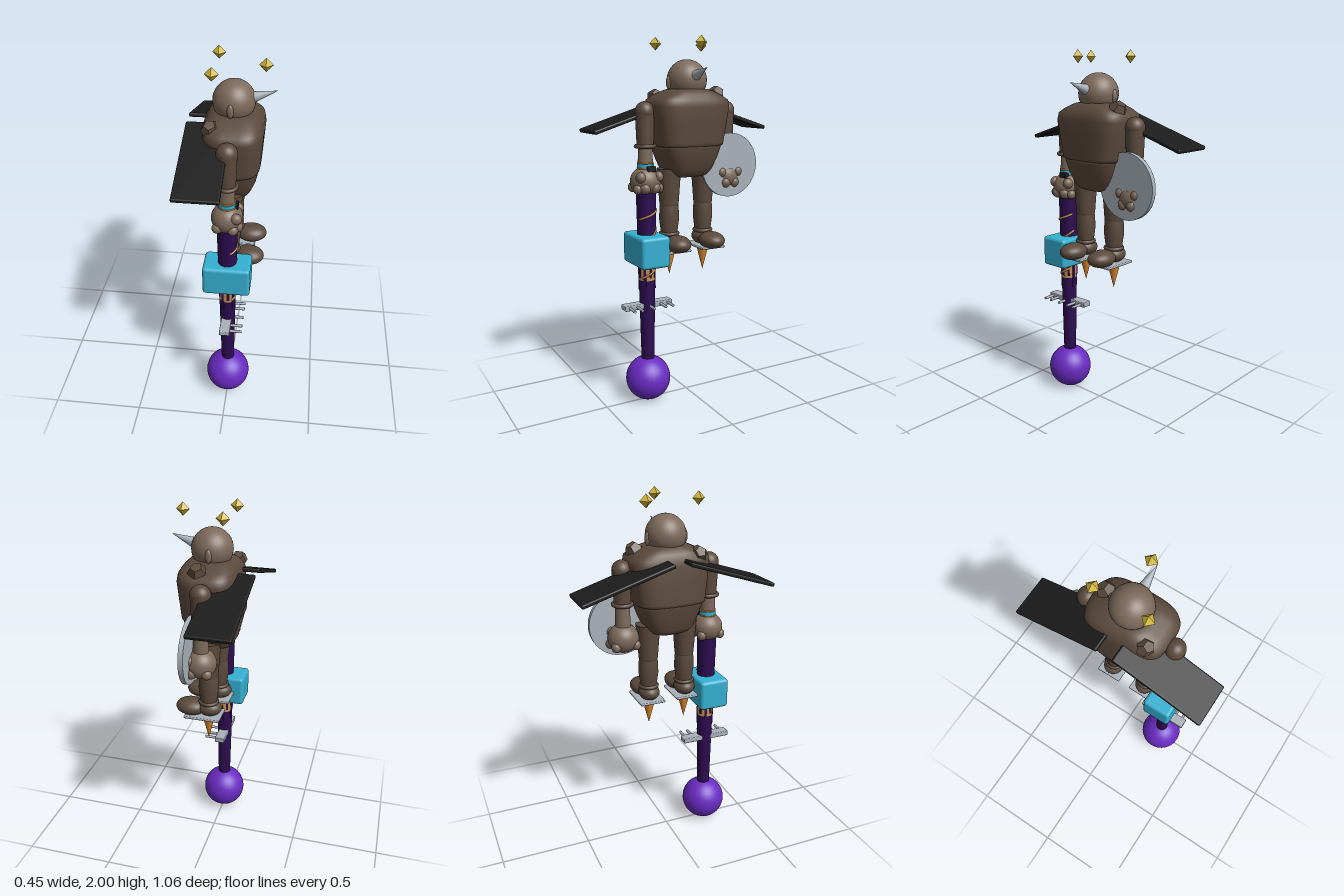
import * as THREE from 'three';
import { RoundedBoxGeometry } from 'three/addons/geometries/RoundedBoxGeometry.js';

const mat = (name, color, extra = {}) => {
  const m = new THREE.MeshStandardMaterial({ color, ...extra });
  m.name = name;
  return m;
};

export function createModel() {
  const root = new THREE.Group();
  root.name = 'flyingWarrior';
  const brown = mat('brown', 0x5b4a3d), skin = mat('lightBrown', 0x7d6a5b), steel = mat('steel', 0xa9b1ba);
  const black = mat('black', 0x1c1c1c), gold = mat('gold', 0xd2b63c), tan = mat('tan', 0xc99650);
  const orange = mat('orange', 0xe08a2a), cyan = mat('cyan', 0x35b0d2);
  const darkPurple = mat('darkPurple', 0x2c0c50), purple = mat('purple', 0x6a2bc2);

  const add = (name, geo, material, x = 0, y = 0, z = 0, parent = root) => {
    const m = new THREE.Mesh(geo, material);
    m.name = name;
    m.position.set(x, y, z);
    parent.add(m);
    return m;
  };
  const ball = (name, material, x, y, z, rx, ry = rx, rz = rx, parent = root) => {
    const m = add(name, new THREE.SphereGeometry(1, 32, 20), material, x, y, z, parent);
    m.scale.set(rx, ry, rz);
    return m;
  };
  const rod = (name, material, x, y0, y1, z, r0, r1, parent = root) =>
    add(name, new THREE.CylinderGeometry(r1, r0, y1 - y0, 28), material, x, (y0 + y1) / 2, z, parent);
  const ring = (name, material, x, y, z, r, t, parent = root) => {
    const m = add(name, new THREE.TorusGeometry(r, t, 10, 32), material, x, y, z, parent);
    m.rotation.x = Math.PI / 2;
    return m;
  };

  // Loft of rounded-rectangle sections: [y, centre x, half x, half z]
  const loft = (rows, power = 3.4, n = 56) => {
    const pos = [], idx = [];
    const se = (v) => Math.sign(v) * Math.abs(v) ** (2 / power);
    rows.forEach(([y, cx, hx, hz], i) => {
      for (let j = 0; j < n; j++) {
        const t = (j / n) * Math.PI * 2;
        pos.push(cx + hx * se(Math.cos(t)), y, hz * se(Math.sin(t)));
        if (i + 1 < rows.length) {
          const a = i * n + j, b = i * n + ((j + 1) % n);
          idx.push(a, a + n, b, b, a + n, b + n);
        }
      }
    });
    const g = new THREE.BufferGeometry();
    g.setAttribute('position', new THREE.Float32BufferAttribute(pos, 3));
    g.setIndex(idx);
    g.computeVertexNormals();
    return g;
  };

  // Torso
  add('chest', loft([
    [1.43, -0.005, 0.001, 0.001], [1.43, -0.005, 0.145, 0.18], [1.435, -0.005, 0.154, 0.19],
    [1.45, -0.005, 0.156, 0.194], [1.56, 0.003, 0.157, 0.21], [1.64, 0.01, 0.156, 0.222],
    [1.675, 0.01, 0.15, 0.215], [1.70, 0.01, 0.135, 0.175], [1.722, 0.01, 0.112, 0.125],
    [1.732, 0.01, 0.09, 0.095], [1.734, 0.01, 0.001, 0.001]]), brown);
  add('belly', loft([
    [1.262, -0.01, 0.001, 0.001], [1.264, -0.01, 0.085, 0.085], [1.275, -0.01, 0.1, 0.108],
    [1.3, -0.01, 0.116, 0.13], [1.36, -0.005, 0.135, 0.157], [1.42, -0.005, 0.148, 0.178],
    [1.445, -0.005, 0.15, 0.182], [1.45, -0.005, 0.001, 0.001]]), brown);
  for (const [x, y, z, r] of [[0.04, 1.7, -0.163, 0.05], [-0.095, 1.685, 0.14, 0.048]])
    add('rockLump', new THREE.DodecahedronGeometry(r), brown, x, y, z);

  // Head with ears and a forehead horn
  ball('head', skin, 0.008, 1.778, 0, 0.108);
  for (const s of [1, -1]) ball('ear', skin, 0, 1.765, s * 0.105, 0.017, 0.036, 0.014);
  const horn = add('horn', new THREE.ConeGeometry(0.028, 0.125, 24), steel, 0.163, 1.82, 0);
  horn.rotation.z = -Math.PI / 2 + 0.32;

  // Halo of floating diamonds
  for (const [x, z] of [[-0.083, 0.141], [-0.083, -0.141], [0.161, 0]])
    add('diamond', new THREE.OctahedronGeometry(0.035), gold, x, 1.967, z);

  // Wings
  for (const s of [1, -1]) {
    const wing = add('wing', new RoundedBoxGeometry(0.228, 0.022, 0.51, 3, 0.008), black, -0.115, 1.589, s * 0.285);
    wing.rotation.x = s * 0.31;
  }

  for (const s of [1, -1]) {
    // Arms
    const arm = new THREE.Group();
    arm.name = 'arm';
    arm.position.z = s * 0.248;
    root.add(arm);
    ball('shoulder', brown, 0, 1.615, 0, 0.054, 0.054, 0.052, arm);
    rod('upperArm', brown, 0, 1.44, 1.62, 0, 0.045, 0.052, arm);
    ring('cuff', brown, 0, 1.435, 0, 0.049, 0.011, arm);
    rod('forearm', skin, 0, 1.28, 1.435, 0, 0.042, 0.038, arm);
    ball('hand', skin, 0, 1.248, 0, 0.082, 0.08, 0.084, arm);
    for (const t of [1, -1]) {
      ball('finger', skin, 0.052, 1.217, t * 0.028, 0.033, 0.032, 0.03, arm);
      ball('knuckle', skin, 0.05, 1.275, t * 0.052, 0.03, 0.03, 0.026, arm);
      ball('sideFinger', skin, 0.035, 1.212, t * 0.063, 0.027, 0.027, 0.024, arm);
      ball('palmFinger', skin, -0.045, 1.215, t * 0.055, 0.028, 0.028, 0.026, arm);
    }

    // Legs and boots
    const leg = new THREE.Group();
    leg.name = 'leg';
    leg.position.z = s * 0.107;
    root.add(leg);
    rod('thigh', brown, 0, 1.12, 1.31, 0, 0.053, 0.067, leg);
    ball('knee', brown, 0, 1.12, 0, 0.053, 0.04, 0.053, leg);
    const shin = [[0.044, 0.93], [0.047, 0.97], [0.055, 1.03], [0.053, 1.09], [0.048, 1.13]];
    add('shin', new THREE.LatheGeometry(shin.map((p) => new THREE.Vector2(...p)), 28), brown, 0, 0, 0, leg);
    ring('ankleCuff', brown, 0, 0.95, 0, 0.046, 0.011, leg);
    ball('heel', brown, -0.005, 0.912, 0, 0.068, 0.045, 0.058, leg);
    ball('toe', brown, 0.1, 0.907, 0, 0.086, 0.047, 0.069, leg);
    add('footPlate', new RoundedBoxGeometry(0.2, 0.014, 0.145, 2, 0.005), steel, 0.025, 0.867, 0, leg);
    const flame = add('flame', new THREE.ConeGeometry(0.037, 0.145, 24), orange, 0, 0.79, 0, leg);
    flame.rotation.x = Math.PI;
  }

  // Wrist device on the right arm
  rod('wristBand', cyan, 0, 1.322, 1.342, 0.248, 0.045, 0.045);
  ring('bandEdge', orange, 0, 1.347, 0.248, 0.041, 0.004);
  ring('bandEdge', orange, 0, 1.319, 0.248, 0.043, 0.004);
  add('wristScreen', new RoundedBoxGeometry(0.03, 0.03, 0.05, 2, 0.004), black, 0.042, 1.317, 0.236);

  // Round shield
  const shield = add('shield', new THREE.CylinderGeometry(0.178, 0.178, 0.026, 56), steel, 0.054, 1.315, -0.243);
  shield.rotation.z = Math.PI / 2;

  // Staff
  const staff = new THREE.Group();
  staff.name = 'staff';
  staff.position.z = 0.246;
  root.add(staff);
  ball('pommelOrb', purple, 0, 0.13, 0, 0.125, 0.125, 0.125, staff);
  rod('shaft', darkPurple, 0, 0.2, 1.21, 0, 0.035, 0.055, staff);
  rod('woodSleeve', tan, 0, 0.61, 0.8, 0, 0.043, 0.047, staff);
  for (let i = 0; i < 9; i++) {
    const a = (i / 9) * Math.PI * 2, h = 0.08 + 0.035 * ((i * 2) % 4);
    const drip = add('drip', new THREE.BoxGeometry(0.008, h, 0.014), darkPurple,
      Math.cos(a) * 0.0435, 0.8 - h / 2, Math.sin(a) * 0.0435, staff);
    drip.rotation.y = -a;
  }
  const wrap = (y, r, rise, from, span) => {
    const pts = [];
    for (let i = 0; i <= 12; i++) {
      const a = from + (span * i) / 12;
      pts.push(new THREE.Vector3(Math.cos(a) * r, y + (rise * i) / 12, Math.sin(a) * r));
    }
    add('goldWrap', new THREE.TubeGeometry(new THREE.CatmullRomCurve3(pts), 24, 0.006, 6), tan, 0, 0, 0, staff);
  };
  wrap(1.045, 0.053, 0.05, 1.2, -2.4);
  wrap(0.955, 0.05, 0.04, -0.2, -1.2);
  wrap(0.72, 0.047, 0.05, 1.0, -2);
  add('hammerBlock', new RoundedBoxGeometry(0.254, 0.17, 0.168, 4, 0.018), cyan, 0, 0.876, 0, staff);

  // Crossguard with prongs
  add('crossguard', new RoundedBoxGeometry(0.058, 0.03, 0.285, 2, 0.005), steel, -0.003, 0.56, 0, staff);
  for (const z of [-0.115, -0.07, 0, 0.07, 0.115]) {
    const prong = add('prong', new THREE.CylinderGeometry(0.008, 0.008, 0.075, 10), steel, 0.053, 0.56, z, staff);
    prong.rotation.z = Math.PI / 2;
  }
  return root;
}
